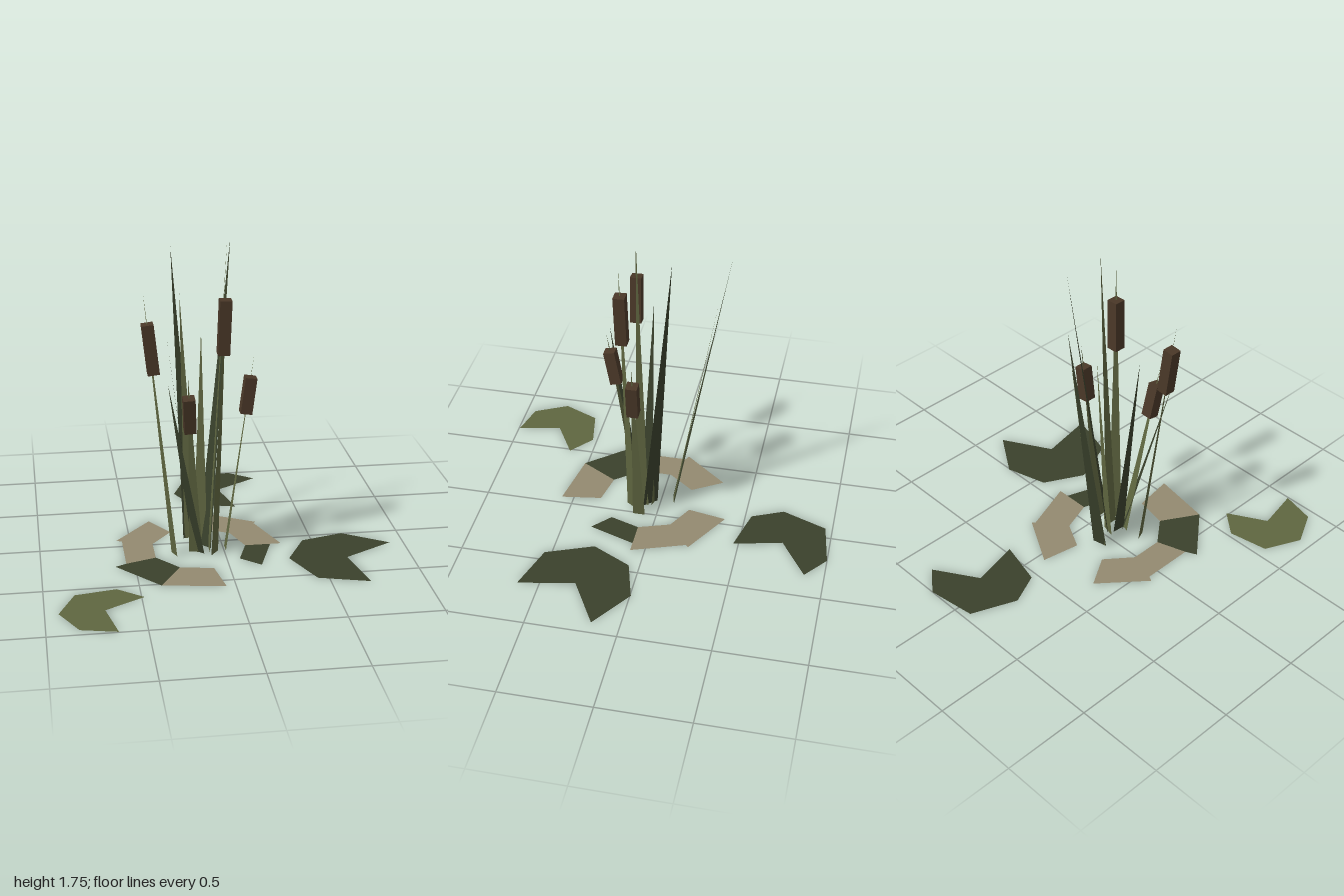
import * as THREE from 'three';

const material = (color) => new THREE.MeshStandardMaterial({ color, side: THREE.DoubleSide, flatShading: true });

export function createModel() {
  const model = new THREE.Group();
  const darkGreen = material(0x3a412c), olive = material(0x5f6640);
  const tan = material(0x938a70), brown = material(0x4a3828);

  const add = (name, geometry, mat) => {
    const mesh = new THREE.Mesh(geometry, mat);
    mesh.name = name;
    model.add(mesh);
    return mesh;
  };

  // Flat patch on the water, outlined by [x, z] corners
  const patch = (name, mat, points) => {
    const shape = new THREE.Shape(points.map(([x, z]) => new THREE.Vector2(x, -z)));
    add(name, new THREE.ShapeGeometry(shape).rotateX(-Math.PI / 2), mat);
  };

  // Flat triangular blade, its base edge square to the direction it leans
  const blade = (name, mat, [bx, bz], tip, width) => {
    const side = new THREE.Vector3(tip[2] - bz, 0, bx - tip[0]).setLength(width / 2);
    const geometry = new THREE.BufferGeometry();
    geometry.setAttribute('position', new THREE.Float32BufferAttribute([
      bx - side.x, 0, bz - side.z, bx + side.x, 0, bz + side.z, ...tip], 3));
    geometry.computeVertexNormals();
    add(name, geometry, mat);
  };

  // Notched lily pads
  patch('lilyPadBack', darkGreen, [[0.19, -1], [0.33, -0.89], [0.09, -0.74], [0.155, -0.47],
    [-0.1, -0.535], [-0.18, -0.71], [-0.08, -0.96]]);
  patch('lilyPadLeft', darkGreen, [[0.685, -0.005], [0.925, 0.155], [0.65, 0.31], [0.71, 0.62],
    [0.44, 0.54], [0.335, 0.28], [0.45, 0.06]]);
  patch('lilyPadFront', olive, [[-0.62, 0.525], [-0.485, 0.635], [-0.695, 0.755], [-0.645, 0.995],
    [-0.835, 0.95], [-0.93, 0.765], [-0.84, 0.565]]);

  // Broken ring of fallen leaves around the clump
  patch('dryLeafLeft', tan, [[-0.045, -0.39], [0.235, -0.23], [0.22, -0.215], [0.325, 0.08],
    [0.125, 0.08], [0.065, -0.095], [-0.085, -0.175]]);
  patch('greenLeafLeft', darkGreen, [[0.125, 0.08], [0.265, 0.08], [0.175, 0.34], [0.07, 0.245]]);
  patch('dryLeafRight', tan, [[-0.37, -0.325], [-0.265, -0.155], [-0.38, -0.01], [-0.38, 0.17],
    [-0.545, 0.225], [-0.545, -0.065], [-0.575, -0.08]]);
  patch('greenLeafRight', darkGreen, [[-0.605, 0.255], [-0.545, 0.225], [-0.38, 0.17],
    [-0.265, 0.31], [-0.385, 0.515]]);
  patch('dryLeafFront', tan, [[-0.385, 0.515], [-0.265, 0.31], [-0.085, 0.345], [-0.05, 0.57]]);

  // Leaf blades: material, base [x, z], tip, width
  [
    [darkGreen, [-0.16, -0.07], [-0.225, 1.6, -0.36], 0.085],
    [olive, [-0.155, -0.068], [-0.185, 1.35, -0.3], 0.08],
    [darkGreen, [-0.1, 0.055], [0.065, 1.7, -0.095], 0.095],
    [olive, [-0.12, 0.035], [-0.1, 1.21, -0.04], 0.08],
    [olive, [-0.08, 0.1], [0.02, 1.75, 0.1], 0.075],
    [darkGreen, [-0.15, 0.09], [-0.3, 1.24, 0.075], 0.075],
    [darkGreen, [-0.14, 0.13], [-0.32, 1.04, 0.33], 0.075],
  ].forEach((args) => blade('leafBlade', ...args));

  // Cattails: stalk base [x, z], stalk tip, stalk width, head bottom and top
  [
    [[-0.275, 0.14], [-0.43, 1.5, 0.205], 0.065, [-0.38, 1.055, 0.19], [-0.41, 1.325, 0.195]],
    [[-0.055, 0.155], [0.005, 1.62, 0.2], 0.075, [-0.013, 1.145, 0.187], [-0.002, 1.44, 0.195]],
    [[-0.155, 0.125], [-0.215, 1.06, 0.325], 0.075, [-0.2, 0.755, 0.265], [-0.21, 0.95, 0.305]],
    [[0.01, 0.1], [0.165, 1.11, 0.1], 0.07, [0.12, 0.785, 0.1], [0.147, 0.985, 0.1]],
  ].forEach(([base, tip, width, bottom, top]) => {
    blade('cattailStalk', olive, base, tip, width);
    const a = new THREE.Vector3(...bottom), b = new THREE.Vector3(...top);
    const head = add('cattailHead', new THREE.BoxGeometry(0.063, a.distanceTo(b), 0.063), brown);
    head.position.copy(a).add(b).multiplyScalar(0.5);
    head.quaternion.setFromUnitVectors(new THREE.Vector3(0, 1, 0), b.sub(a).normalize());
  });

  return model;
}
